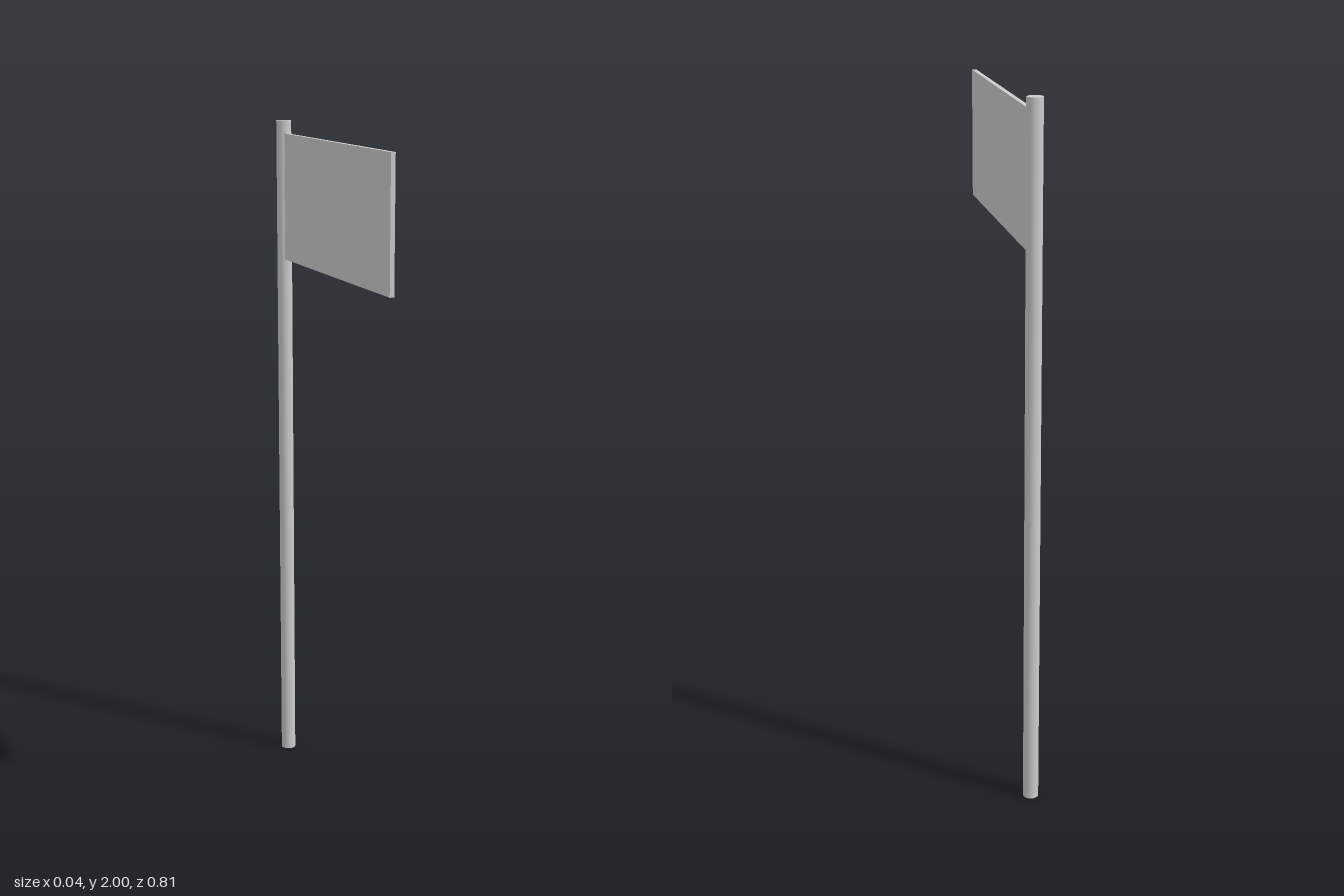
import * as THREE from 'three';

const POLE_RADIUS = 0.022;
const POLE_Z = -0.384;
const FLAG = { bottom: 1.593, top: 1.963, back: -0.364, front: 0.405, thickness: 0.013 };

export function createModel() {
  const model = new THREE.Group();
  model.name = 'flagOnPole';
  const material = new THREE.MeshStandardMaterial({ color: 0xcccccc });

  // Round upright pole at the back
  const pole = new THREE.Mesh(new THREE.CylinderGeometry(POLE_RADIUS, POLE_RADIUS, 2, 32), material);
  pole.name = 'pole';
  pole.position.set(0, 1, POLE_Z);
  model.add(pole);

  // Stiff flat flag reaching forward from the pole
  const flag = new THREE.Mesh(
    new THREE.BoxGeometry(FLAG.thickness, FLAG.top - FLAG.bottom, FLAG.front - FLAG.back),
    material
  );
  flag.name = 'flag';
  flag.position.set(0, (FLAG.top + FLAG.bottom) / 2, (FLAG.front + FLAG.back) / 2);
  model.add(flag);

  return model;
}
